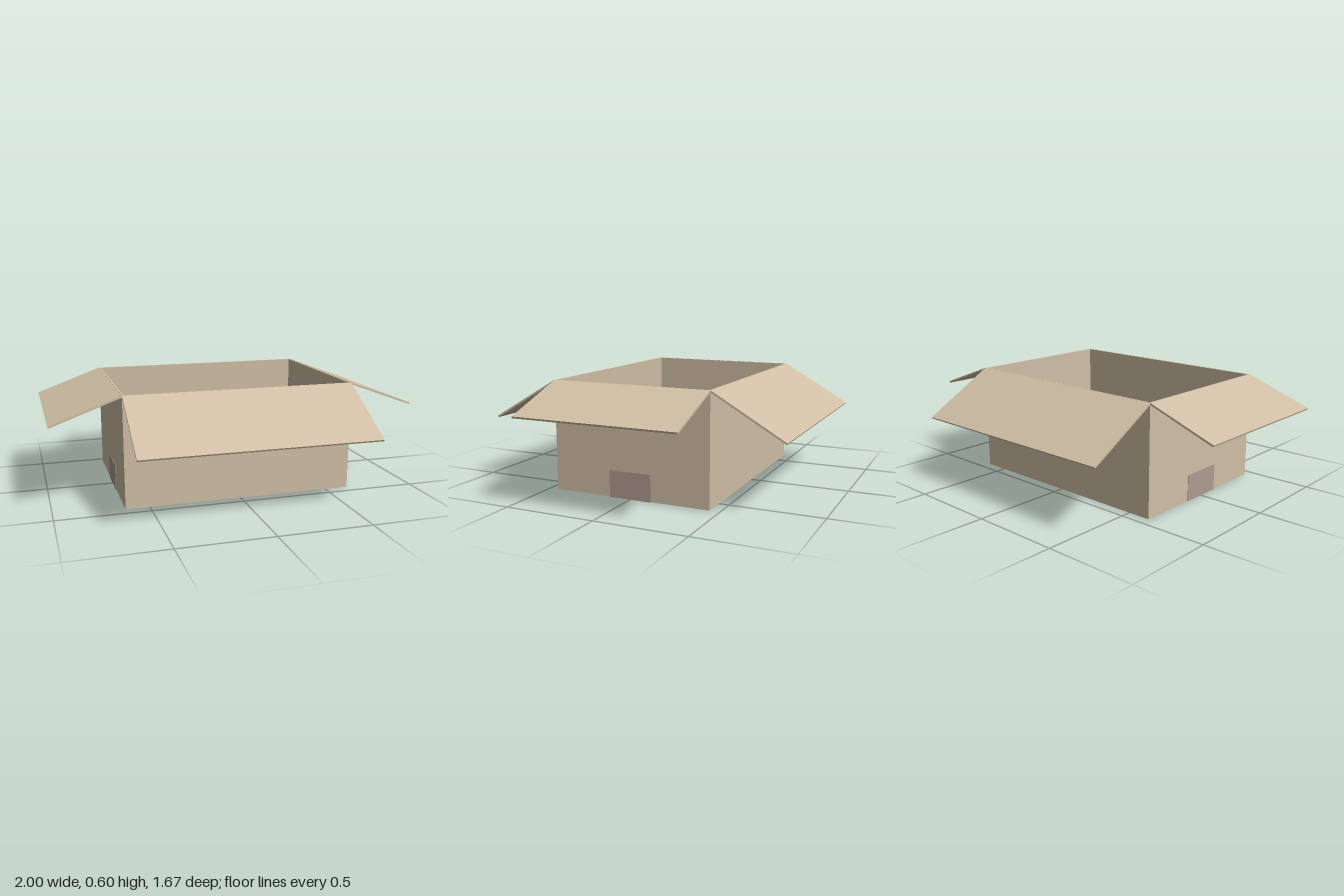
import * as THREE from 'three';

const HX = 0.63, HZ = 0.447, H = 0.6, T = 0.01; // half width, half depth, height, board thickness

export function createModel() {
  const model = new THREE.Group();
  model.name = 'openCardboardBox';
  const cardboard = new THREE.MeshStandardMaterial({ color: 0xd0bfa5 });
  cardboard.name = 'cardboard';
  const tape = new THREE.MeshStandardMaterial({ color: 0xae9b91 });
  tape.name = 'packing tape';

  const board = (name, material, size, position, parent = model) => {
    const mesh = new THREE.Mesh(new THREE.BoxGeometry(...size), material);
    mesh.name = name;
    mesh.position.set(...position);
    parent.add(mesh);
    return mesh;
  };

  // Open top flap hinged on the rim, sloping outward and down
  const flap = (name, turn, reach, width, length, slope) => {
    const side = new THREE.Group();
    side.name = name;
    side.rotation.y = turn;
    const hinge = new THREE.Group();
    hinge.position.set(reach, H - 0.004, 0);
    hinge.rotation.z = -slope;
    board(name + 'Panel', cardboard, [length, T, width], [length / 2, 0, 0], hinge);
    side.add(hinge);
    model.add(side);
  };

  for (const s of [1, -1]) {
    const end = s > 0 ? 'left' : 'right';
    const face = s > 0 ? 'front' : 'back';

    // Walls
    board(end + 'Wall', cardboard, [T, H, 2 * HZ], [s * (HX - T / 2), H / 2, 0]);
    board(face + 'Wall', cardboard, [2 * (HX - T), H, T], [0, H / 2, s * (HZ - T / 2)]);

    // Bottom flaps: long pair meets at the middle, short pair lies on top
    const half = HZ - T;
    board(face + 'BottomFlap', cardboard, [2 * (HX - T), T, half - 0.001],
      [0, T / 2, s * (half + 0.001) / 2]);
    board(end + 'BottomFlap', cardboard, [HX - T - 0.24, T, 2 * half],
      [s * (HX - T + 0.24) / 2, T * 1.5, 0]);

    // Top flaps
    flap(end + 'TopFlap', s > 0 ? 0 : Math.PI, HX, 2 * HZ, 0.393, Math.PI / 9);
    flap(face + 'TopFlap', -s * Math.PI / 2, HZ, 2 * HX, 0.446, Math.PI / 6);

    // Tape end folded up the short wall
    board(end + 'TapeEnd', tape, [0.002, 0.145, 0.24], [s * (HX + 0.001), 0.0725, 0]);
  }

  // Tape strip along the bottom seam
  board('bottomTape', tape, [2 * HX + 0.004, 0.002, 0.24], [0, -0.001, 0]);
  model.children.forEach((part) => { part.position.y += 0.002; });
  return model;
}
